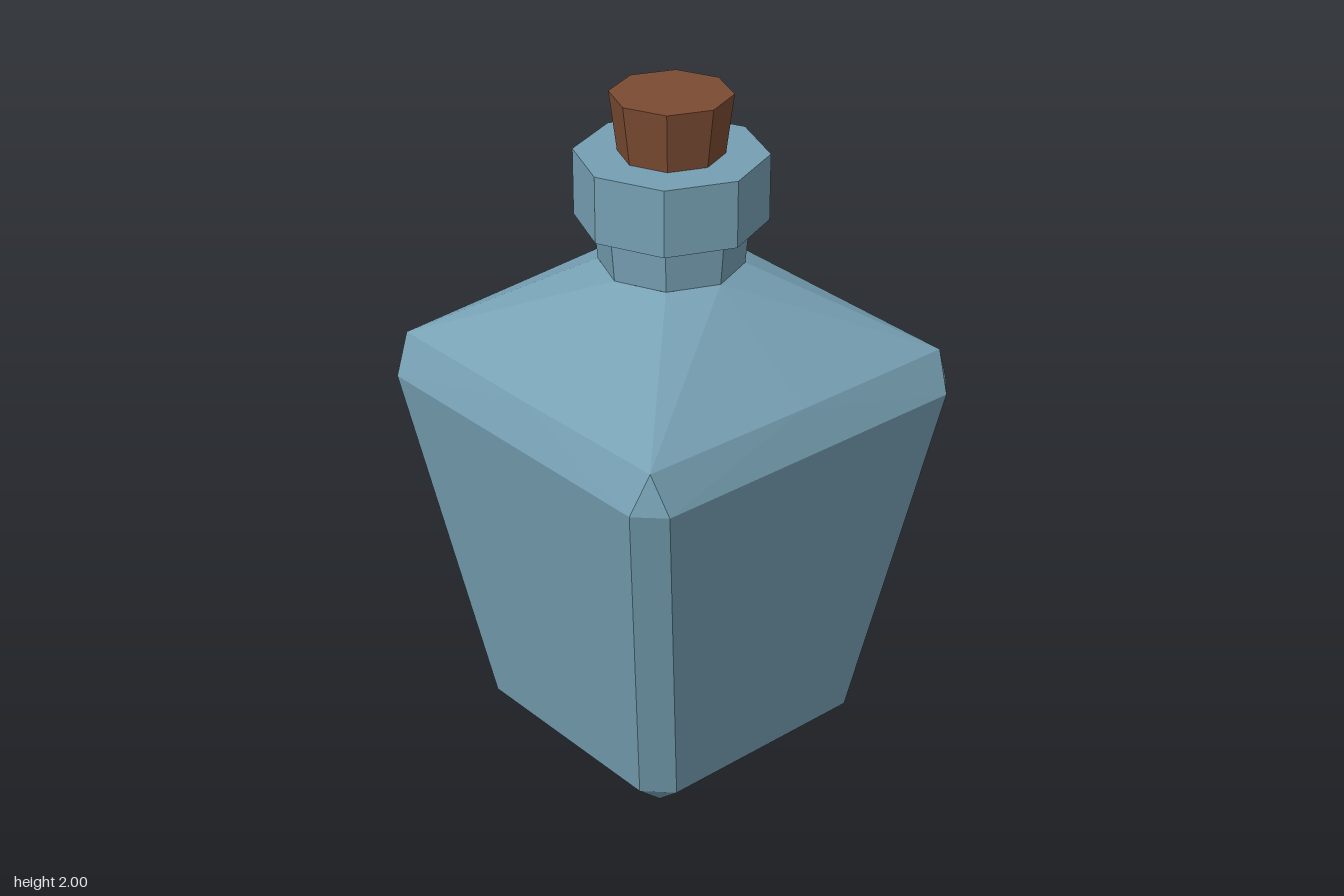
import * as THREE from 'three';

const glass = new THREE.MeshStandardMaterial({ color: 0x76a0b3 });
glass.name = 'blue glass';
const cork = new THREE.MeshStandardMaterial({ color: 0x7b4b32 });
cork.name = 'brown cork';

// Cross-section of four sides, each with a start, middle and end point.
function section([y, mid, inner, edge]) {
  const points = [];
  for (let side = 0; side < 4; side++) {
    for (let [x, z] of [[-inner, edge], [0, mid], [inner, edge]]) {
      for (let turn = 0; turn < side; turn++) [x, z] = [z, -x];
      points.push(new THREE.Vector3(x, y, z));
    }
  }
  return points;
}

// Skin between sections, left faceted by keeping triangles unshared.
function loft(rows) {
  const rings = rows.map(section);
  const positions = [];
  const triangle = (a, b, c) => {
    if (new THREE.Triangle(a, b, c).getArea() < 1e-7) return;
    for (const p of [a, b, c]) positions.push(p.x, p.y, p.z);
  };
  for (let r = 0; r < rings.length - 1; r++) {
    const low = rings[r], high = rings[r + 1];
    for (let i = 0; i < 12; i++) {
      const j = (i + 1) % 12;
      if (i % 3 === 1) {
        triangle(low[i], low[j], high[i]);
        triangle(low[j], high[j], high[i]);
      } else {
        triangle(low[i], low[j], high[j]);
        triangle(low[i], high[j], high[i]);
      }
    }
  }
  const geometry = new THREE.BufferGeometry();
  geometry.setAttribute('position', new THREE.Float32BufferAttribute(positions, 3));
  geometry.computeVertexNormals();
  return geometry;
}

// Eight-sided ring with a corner facing the front.
function octagon(top, bottom, y0, y1, open = false) {
  const geometry = new THREE.CylinderGeometry(top, bottom, y1 - y0, 8, 1, open).toNonIndexed();
  geometry.translate(0, (y0 + y1) / 2, 0);
  geometry.computeVertexNormals();
  return geometry;
}

export function createModel() {
  const group = new THREE.Group();
  group.name = 'corkedBottle';
  const add = (name, geometry, material) => {
    const mesh = new THREE.Mesh(geometry, material);
    mesh.name = name;
    group.add(mesh);
  };

  // Tapered square body with bevelled edges, closing into the octagonal neck
  add('body', loft([
    [0, 0, 0, 0],
    [0, 0.33, 0.33, 0.33],
    [0.07, 0.41, 0.335, 0.41],
    [1.14, 0.587, 0.513, 0.587],
    [1.255, 0.537, 0.533, 0.533],
    [1.505, 0.205, 0.145, 0.145],
  ]), glass);

  add('neck', octagon(0.217, 0.205, 1.505, 1.64, true), glass);
  add('collar', octagon(0.27, 0.27, 1.637, 1.83), glass);
  add('stopper', octagon(0.17, 0.147, 1.82, 2), cork);
  return group;
}
